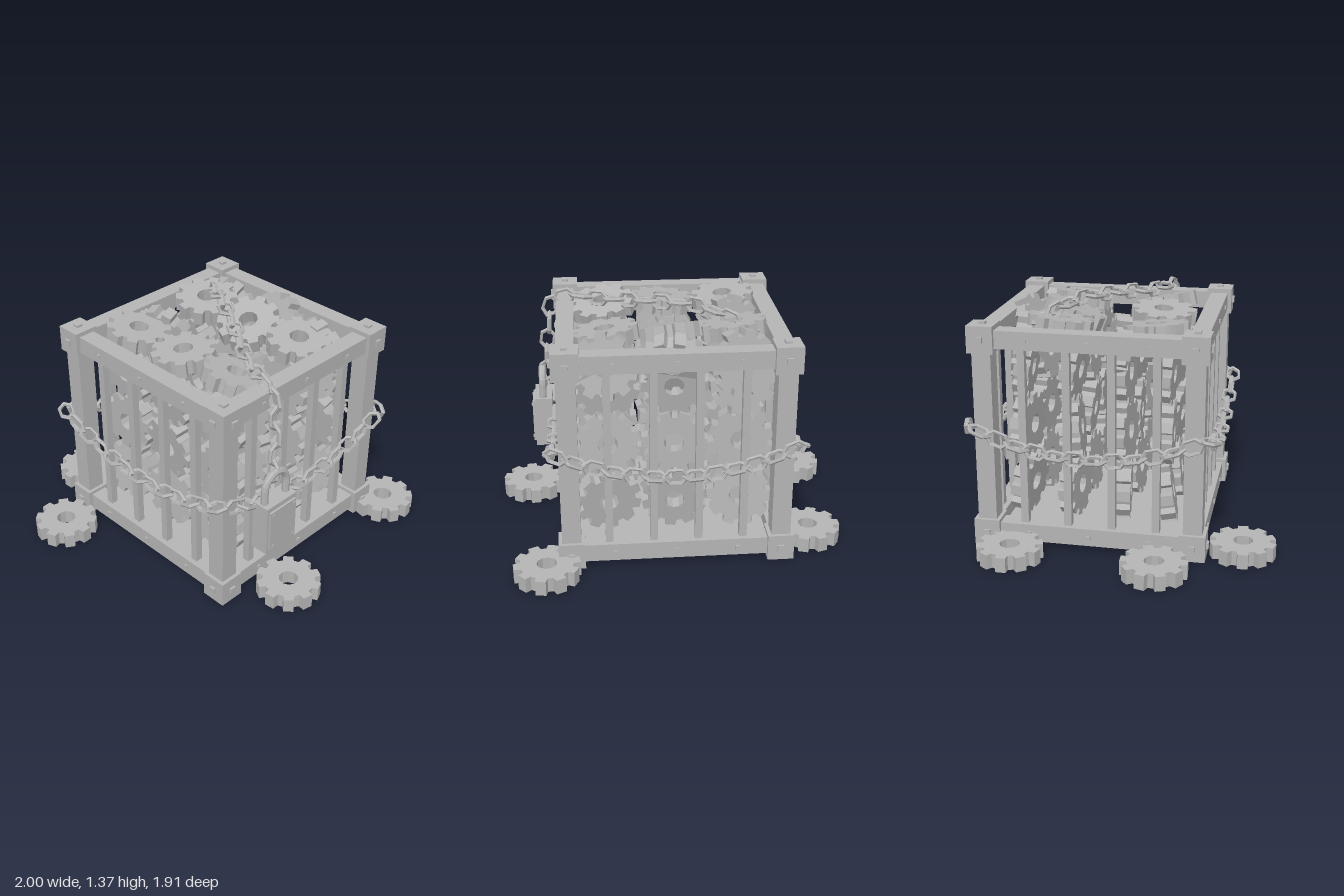
import * as THREE from 'three';

const iron = new THREE.MeshStandardMaterial({ color: 0xb4b4b4 });
iron.name = 'grey iron';

// Cage centre and half distance between corner posts
const CX = 0.003, CZ = -0.072, H = 0.575;

function add(parent, name, geometry, x = 0, y = 0, z = 0) {
  const mesh = new THREE.Mesh(geometry, iron);
  mesh.name = name;
  mesh.position.set(x, y, z);
  parent.add(mesh);
  return mesh;
}
const box = (w, h, d) => new THREE.BoxGeometry(w, h, d);

function faceted(geometry) {
  const g = geometry.toNonIndexed();
  g.computeVertexNormals();
  return g;
}

// Ten-toothed cog lying in the XY plane, centred on its thickness
function makeGear() {
  const shape = new THREE.Shape();
  const teeth = 10, step = Math.PI * 2 / teeth;
  for (let i = 0; i < teeth; i++) {
    [[-0.34, 0.148], [-0.25, 0.183], [0.25, 0.183], [0.34, 0.148]].forEach(([f, r], k) => {
      const a = (i + f) * step;
      shape[i + k === 0 ? 'moveTo' : 'lineTo'](r * Math.cos(a), r * Math.sin(a));
    });
  }
  shape.closePath();
  const hole = new THREE.Path();
  for (let i = 0; i < 10; i++) {
    const a = -i * Math.PI / 5;
    hole[i ? 'lineTo' : 'moveTo'](0.056 * Math.cos(a), 0.056 * Math.sin(a));
  }
  hole.closePath();
  shape.holes.push(hole);
  const g = new THREE.ExtrudeGeometry(shape, { depth: 0.084, bevelEnabled: false });
  return g.translate(0, 0, -0.042);
}

// Chain of hexagonal links, alternately rolled a quarter turn
function addChain(parent, name, points, closed, count) {
  const chain = new THREE.Group();
  chain.name = name;
  const link = faceted(new THREE.TorusGeometry(0.055, 0.013, 5, 6).scale(1.15, 0.78, 1));
  const curve = new THREE.CatmullRomCurve3(points, closed, 'centripetal');
  for (let i = 0; i < count; i++) {
    const u = i / (closed ? count : count - 1);
    const t = curve.getTangentAt(u);
    const ref = Math.abs(t.y) > 0.8 ? new THREE.Vector3(0, 0, 1) : new THREE.Vector3(0, 1, 0);
    const side = new THREE.Vector3().crossVectors(ref, t).normalize();
    const up = new THREE.Vector3().crossVectors(t, side);
    const m = add(chain, 'chainLink', link);
    m.position.copy(curve.getPointAt(u));
    m.quaternion.setFromRotationMatrix(new THREE.Matrix4().makeBasis(t, side, up));
    m.rotateX(i % 2 ? Math.PI / 2 : 0.15);
  }
  parent.add(chain);
}

export function createModel() {
  const model = new THREE.Group();
  model.name = 'cageOfGears';
  let seed = 7;
  const rnd = () => (seed = (seed * 16807) % 2147483647) / 2147483647 * 2 - 1;

  // Cage frame
  const cage = new THREE.Group();
  cage.name = 'cage';
  cage.position.set(CX, 0, CZ);
  model.add(cage);
  add(cage, 'floor', box(1.15, 0.03, 1.15), 0, 0.048, 0);
  const stud = box(0.036, 0.036, 0.026), rivet = box(0.02, 0.02, 0.016);
  for (const x of [-H, H]) for (const z of [-H, H]) {
    add(cage, 'post', box(0.105, 1.1, 0.105), x, 0.63, z);
    for (const y of [0.078, 1.188]) {
      add(cage, 'cornerBlock', box(0.146, 0.15, 0.146), x, y, z);
      add(cage, 'cornerStud', stud, x, y, z + Math.sign(z) * 0.073);
      add(cage, 'cornerStud', stud, x + Math.sign(x) * 0.073, y, z).rotation.y = Math.PI / 2;
    }
    add(cage, 'cornerStud', stud, x, 1.263, z).rotation.x = Math.PI / 2;
  }

  // Four identical barred sides
  for (let s = 0; s < 4; s++) {
    const side = new THREE.Group();
    side.name = 'barredSide';
    side.rotation.y = s * Math.PI / 2;
    for (const y of [0.083, 1.188]) {
      add(side, 'rail', box(1.1, 0.1, 0.1), 0, y, H);
      for (const x of [-0.335, 0, 0.335]) add(side, 'rivet', rivet, x, y, H + 0.051);
    }
    for (const x of [-0.368, -0.123, 0.123, 0.368]) add(side, 'bar', box(0.042, 1.05, 0.042), x, 0.63, H);
    cage.add(side);
  }

  // Stacked upright gears
  const gear = makeGear();
  for (const z of [0.32, 0.08, -0.2, -0.47])
    for (const y of [0.3, 0.645, 0.985])
      for (const x of [-0.365, 0, 0.37])
        add(model, 'stackedGear', gear, x, y, z).rotation.set(rnd() * 0.16, rnd() * 0.16, rnd() * 3);

  // Loose gears lying on top, then gears tipped on edge
  const loose = [
    [-0.34, 1.22, -0.28, -1.45, 0.12], [0.01, 1.2, -0.28, -1.2, 0.12], [0.36, 1.21, -0.31, -1.5, 0.14],
    [-0.35, 1.21, 0.25, -1.65, 0.12], [0.01, 1.21, 0.235, -1.5, -0.08], [0.36, 1.2, 0.2, -1.8, 0.15],
    [-0.36, 1.1, -0.49, 0.15, 0.2], [0.01, 1.12, -0.51, -0.45, -0.12], [0.37, 1.1, -0.49, 0.2, -0.15],
    [-0.36, 1.11, 0.05, 0.15, 0.3],
  ];
  for (const [x, y, z, rx, ry] of loose) add(model, 'looseGear', gear, x, y, z).rotation.set(rx, ry, rnd() * 3);

  // Gears spilled on the ground
  const spilled = [[-0.77, -0.48], [-0.82, 0.325], [-0.49, 0.768], [0.815, 0.215], [0.715, -0.775]];
  spilled.forEach(([x, z], i) => {
    add(model, 'groundGear', gear, x, 0.042, z).rotation.set(-Math.PI / 2, 0, i * 0.35);
  });

  // Chain sagging round all four sides
  const loop = [];
  const R = 0.66;
  for (let s = 0; s < 4; s++) {
    for (const f of [-0.97, -0.6, -0.2, 0.2, 0.6, 0.97]) {
      const p = new THREE.Vector3(f * R, 0.555 + 0.155 * f * f, R);
      loop.push(p.applyAxisAngle(new THREE.Vector3(0, 1, 0), s * Math.PI / 2).add(new THREE.Vector3(CX, 0, CZ)));
    }
  }
  addChain(model, 'sideChain', loop, true, 50);

  // Chain over the top, down to the padlock
  const over = [[-0.4, 1.26, -0.37], [-0.17, 1.325, -0.22], [0.1, 1.31, -0.06], [0.38, 1.275, 0.12],
    [0.56, 1.27, 0.2], [0.655, 1.22, 0.215], [0.675, 1.08, 0.22], [0.695, 0.94, 0.235], [0.7, 0.79, 0.25]];
  addChain(model, 'topChain', over.map(p => new THREE.Vector3(...p)), false, 17);

  // Padlock
  const lock = new THREE.Group();
  lock.name = 'padlock';
  lock.position.set(0.73, 0.49, 0.262);
  add(lock, 'lockBody', box(0.104, 0.305, 0.23));
  add(lock, 'lockPlate', box(0.02, 0.25, 0.2), 0.055, 0, 0);
  for (const y of [-0.105, 0.105]) for (const z of [-0.08, 0.08])
    add(lock, 'plateScrew', box(0.01, 0.014, 0.014), 0.066, y, z);
  const arch = faceted(new THREE.TorusGeometry(0.083, 0.021, 8, 10, Math.PI));
  add(lock, 'shackleArch', arch, 0, 0.235, 0).rotation.y = Math.PI / 2;
  for (const z of [-0.083, 0.083])
    add(lock, 'shackleLeg', faceted(new THREE.CylinderGeometry(0.021, 0.021, 0.1, 8)), 0, 0.19, z);
  model.add(lock);

  return model;
}
